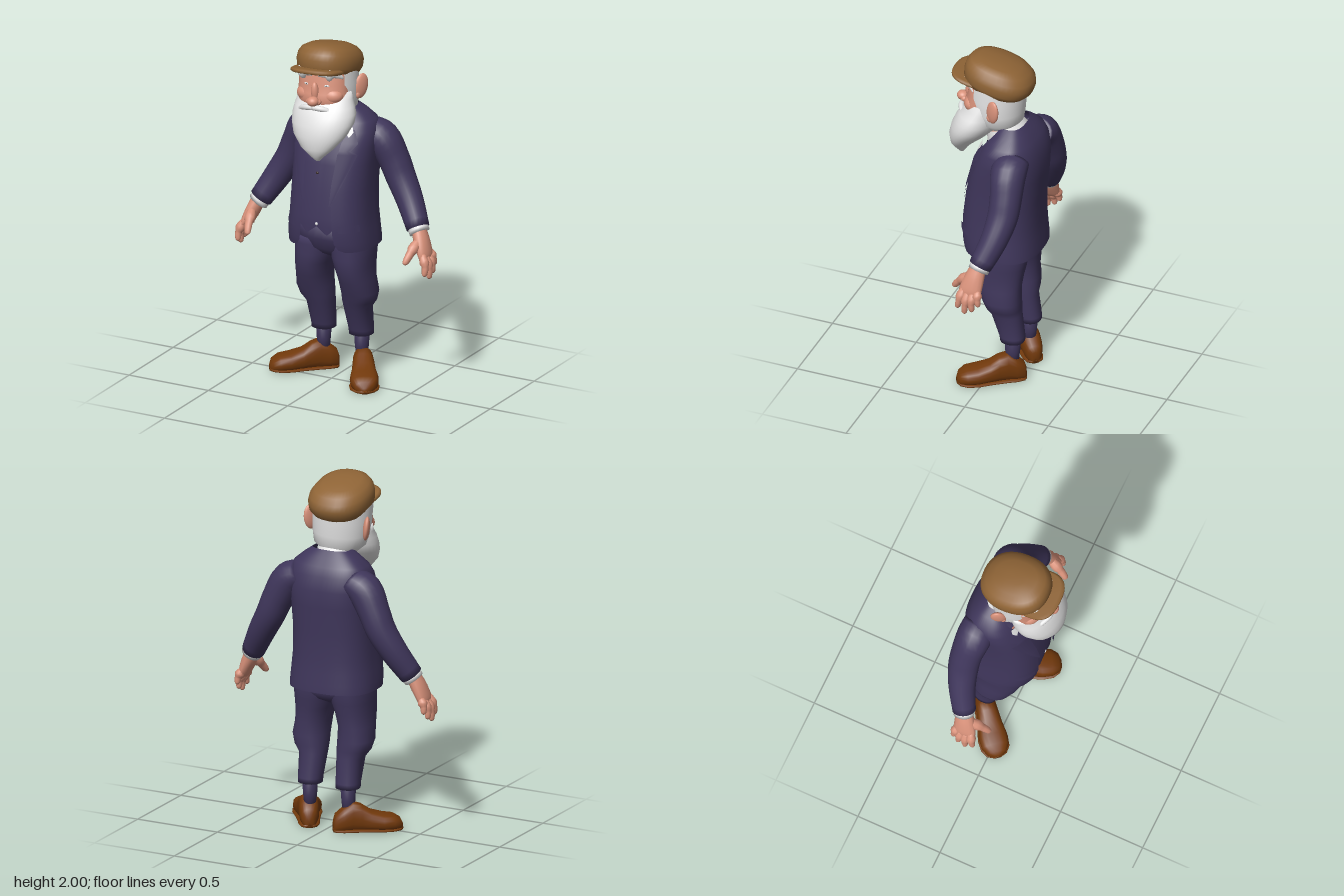
import * as THREE from 'three';

const mat = (name, color, side = THREE.FrontSide) => {
  const m = new THREE.MeshStandardMaterial({ color, side });
  m.name = name;
  return m;
};
const V = (x, y, z) => new THREE.Vector3(x, y, z);
const sgnPow = (v, p) => Math.sign(v) * Math.abs(v) ** p;

// Skin a list of rings; closed rings wrap round and are capped
function loft(rings, closed = true) {
  const n = rings[0].length, pos = [], idx = [];
  rings.forEach(r => r.forEach(p => pos.push(p.x, p.y, p.z)));
  for (let i = 0; i < rings.length - 1; i++) {
    for (let j = 0; j < (closed ? n : n - 1); j++) {
      const k = (j + 1) % n, a = i * n + j, b = i * n + k;
      idx.push(a, b, b + n, a, b + n, a + n);
    }
  }
  const cap = (i, flip) => {
    const c = rings[i].reduce((s, p) => s.add(p), V(0, 0, 0)).divideScalar(n);
    const q = pos.length / 3;
    pos.push(c.x, c.y, c.z);
    for (let j = 0; j < n; j++) {
      const a = i * n + j, b = i * n + (j + 1) % n;
      flip ? idx.push(b, a, q) : idx.push(a, b, q);
    }
  };
  if (closed) {
    cap(0, true);
    cap(rings.length - 1, false);
  }
  const g = new THREE.BufferGeometry();
  g.setAttribute('position', new THREE.Float32BufferAttribute(pos, 3));
  g.setIndex(idx);
  g.computeVertexNormals();
  return g;
}

// Upright body: rows [y, half width, back z, front z, centre x, front gap], bottom to top
function body(rows, n = 2, closed = true, seg = 36) {
  return loft(rows.map(([y, rx, zb, zf, cx = 0, gap = 0]) => {
    const a0 = Math.asin(Math.min(0.98, gap / rx) ** (n / 2));
    return Array.from({ length: seg }, (_, j) => {
      const a = a0 + (2 * Math.PI - 2 * a0) * j / (closed ? seg : seg - 1);
      return V(cx + rx * sgnPow(Math.sin(a), 2 / n), y,
        (zb + zf) / 2 + (zf - zb) / 2 * sgnPow(Math.cos(a), 2 / n));
    });
  }), closed);
}

// Limb: points [x, y, z, radius, radius along z] smoothed along a curve
function limb(pts, seg = 14) {
  const path = new THREE.CatmullRomCurve3(pts.map(p => V(p[0], p[1], p[2])));
  const rad = new THREE.CatmullRomCurve3(pts.map(p => V(p[3], p[4] ?? p[3], 0)));
  const N = 4 * (pts.length - 1), rings = [];
  for (let i = 0; i <= N; i++) {
    const c = path.getPoint(i / N), r = rad.getPoint(i / N), t = path.getTangent(i / N);
    const u = t.clone().cross(V(0, 0, 1)).normalize(), v = u.clone().cross(t);
    rings.push(Array.from({ length: seg }, (_, j) => {
      const a = 2 * Math.PI * j / seg;
      return c.clone().addScaledVector(u, r.x * Math.sin(a)).addScaledVector(v, r.y * Math.cos(a));
    }));
  }
  return loft(rings);
}

// Shoe: sections [z, half width, height] from heel to toe
function shoeGeo(sections, widen = 0, flat = null) {
  return loft(sections.map(([z, w, h]) => Array.from({ length: 20 }, (_, j) => {
    const a = 2 * Math.PI * j / 20, H = flat ?? h;
    return V((w + widen) * sgnPow(Math.sin(a), 0.8), H / 2 - H / 2 * sgnPow(Math.cos(a), 0.8), z);
  })));
}

const BOXY = 2.6;
const JACKET = [
  [0.81, 0.25, -0.26, 0.168, 0, 0.165], [0.825, 0.25, -0.26, 0.173, 0, 0.128],
  [0.86, 0.248, -0.258, 0.18, 0, 0.108], [0.92, 0.243, -0.254, 0.186, 0, 0.1],
  [1.0, 0.235, -0.25, 0.184, 0, 0.095], [1.15, 0.23, -0.252, 0.167, 0, 0.085],
  [1.3, 0.234, -0.266, 0.138, 0, 0.1], [1.4, 0.242, -0.268, 0.103, 0, 0.115],
  [1.48, 0.24, -0.25, 0.063, 0, 0.135], [1.53, 0.215, -0.225, 0.033, 0, 0.145],
  [1.575, 0.162, -0.19, 0.0, 0, 0.13], [1.61, 0.112, -0.158, -0.02, 0, 0.1]];

// Depth of the jacket front at a given x and y
function frontZ(x, y) {
  let i = 0;
  while (i < JACKET.length - 2 && JACKET[i + 1][0] < y) i++;
  const A = JACKET[i], B = JACKET[i + 1], t = (y - A[0]) / (B[0] - A[0]);
  const [, rx, zb, zf] = A.map((v, k) => v + (B[k] - v) * t);
  return (zb + zf) / 2 + (zf - zb) / 2 * Math.max(0, 1 - Math.abs(x / rx) ** BOXY) ** (1 / BOXY);
}
// Thin cloth panel laid on the jacket front: rows [y, x from, x to]
function panel(rows, lift) {
  return loft(rows.map(([y, a, b]) => Array.from({ length: 6 }, (_, j) => {
    const x = a + (b - a) * j / 5;
    return V(x, y, frontZ(x, y) + lift);
  })), false);
}

export function createModel() {
  const model = new THREE.Group();
  const navy = mat('navyCloth', 0x3f365b, THREE.DoubleSide);
  const white = mat('whiteHair', 0xe2e2e2, THREE.DoubleSide);
  const skin = mat('skin', 0xd9927b);
  const tan = mat('capBrown', 0x8f6436);
  const leather = mat('shoeLeather', 0x72390b);
  const dark = mat('dark', 0x3a2a26);
  const add = (parent, name, geo, m) => {
    const o = new THREE.Mesh(geo, m);
    o.name = name;
    parent.add(o);
    return o;
  };
  const blob = (parent, name, m, p, s) => {
    const o = add(parent, name, new THREE.SphereGeometry(1, 24, 16), m);
    o.position.set(...p);
    o.scale.set(...s);
    return o;
  };
  const group = (parent, name) => {
    const g = new THREE.Group();
    g.name = name;
    parent.add(g);
    return g;
  };

  // Torso: open jacket with the chest showing at the neck
  add(model, 'jacket', body(JACKET, BOXY, false, 56), navy);
  add(model, 'chest', panel([[1.31, -0.05, 0.05], [1.4, -0.1, 0.1], [1.48, -0.13, 0.13]], -0.022), skin);
  add(model, 'neck', body([[1.42, 0.09, -0.13, 0.04], [1.52, 0.088, -0.125, 0.06], [1.65, 0.088, -0.11, 0.07]]), skin);
  const collar = add(model, 'shirtCollar', new THREE.CylinderGeometry(0.105, 0.125, 0.06, 28, 1, true), white);
  collar.position.set(0, 1.555, -0.04);
  collar.rotation.x = 0.42;
  blob(model, 'button', dark, [-0.015, 1.25, frontZ(0, 1.25) - 0.012], [0.008, 0.008, 0.005]);
  blob(model, 'lowerButton', white, [0, 0.965, frontZ(0, 0.965) - 0.012], [0.009, 0.009, 0.005]);
  add(model, 'trouserSeat', body([[0.72, 0.03, -0.12, 0.0], [0.75, 0.1, -0.18, 0.055],
    [0.79, 0.21, -0.212, 0.094], [0.85, 0.228, -0.215, 0.11], [0.94, 0.222, -0.215, 0.13]], 2.4), navy);

  // Paired parts, made for the left and mirrored
  [['left', 1], ['right', -1]].forEach(([label, s]) => {
    const half = group(model, label + 'Side');
    half.scale.x = s;
    add(half, 'waistcoat', panel([[0.905, 0.06, 0.065], [0.95, 0, 0.11], [1.0, 0, 0.12], [1.15, 0, 0.12],
      [1.3, 0, 0.13], [1.34, 0, 0.13], [1.4, 0.045, 0.14], [1.48, 0.1, 0.15]], -0.012), navy);
    add(half, 'lapel', panel([[1.08, 0.08, 0.087], [1.2, 0.086, 0.14], [1.37, 0.1, 0.2],
      [1.39, 0.105, 0.165], [1.43, 0.11, 0.195], [1.5, 0.135, 0.165]], 0.01), navy);
    add(half, 'collarPoint', panel([[1.465, 0.145, 0.15], [1.49, 0.125, 0.165], [1.515, 0.115, 0.155]], 0.02), white);
    add(half, 'pocketFlap', panel([[0.93, 0.135, 0.225], [0.97, 0.13, 0.222]], 0.006), navy);

    add(half, 'sleeve', limb([[0.16, 1.45, -0.145, 0.08, 0.095], [0.235, 1.41, -0.15, 0.097, 0.1],
      [0.3, 1.3, -0.163, 0.088, 0.09], [0.345, 1.2, -0.163, 0.083, 0.086],
      [0.415, 1.08, -0.14, 0.076], [0.495, 0.945, -0.09, 0.065]], 20), navy);
    add(half, 'cuff', limb([[0.475, 0.975, -0.1, 0.056], [0.509, 0.922, -0.085, 0.058]], 20), white);
    add(half, 'palm', limb([[0.5, 0.95, -0.085, 0.038, 0.044], [0.53, 0.88, -0.07, 0.04, 0.058],
      [0.56, 0.81, -0.057, 0.03, 0.066], [0.575, 0.765, -0.052, 0.012, 0.052]]), skin);
    const finger = (name, a, b, c, r = 0.02) => add(half, name, limb([[...a, r], [...b, r],
      [...c, r * 0.75], [c[0], c[1] - 0.01, c[2], 0.005]], 10), skin);
    finger('indexFinger', [0.56, 0.82, -0.018], [0.587, 0.76, -0.004], [0.588, 0.715, 0.005]);
    finger('middleFinger', [0.565, 0.81, -0.045], [0.592, 0.74, -0.04], [0.594, 0.69, -0.038]);
    finger('ringFinger', [0.565, 0.81, -0.075], [0.59, 0.75, -0.076], [0.592, 0.71, -0.08]);
    finger('littleFinger', [0.56, 0.82, -0.1], [0.58, 0.78, -0.108], [0.584, 0.745, -0.113]);
    finger('thumb', [0.525, 0.89, -0.045], [0.51, 0.835, 0.02], [0.498, 0.785, 0.06], 0.023);

    add(half, 'trouserLeg', body([[0.25, 0.067, -0.195, -0.06, 0.118], [0.28, 0.067, -0.195, -0.055, 0.118],
      [0.42, 0.075, -0.178, -0.005, 0.117], [0.465, 0.092, -0.182, 0.018, 0.132], [0.52, 0.099, -0.182, 0.038, 0.14],
      [0.6, 0.092, -0.18, 0.073, 0.134], [0.68, 0.1, -0.19, 0.097, 0.124], [0.74, 0.111, -0.202, 0.1, 0.115],
      [0.8, 0.115, -0.213, 0.1, 0.113], [0.84, 0.112, -0.21, 0.1, 0.112]], 2.3), navy);
    add(half, 'sock', body([[0.12, 0.032, -0.163, -0.095, 0.12], [0.18, 0.038, -0.17, -0.085, 0.12],
      [0.27, 0.044, -0.175, -0.085, 0.12]]), navy);

    const shoe = group(half, 'shoe');
    shoe.position.set(s > 0 ? 0.115 : 0.102, 0, s > 0 ? -0.148 : -0.155);
    shoe.rotation.y = s > 0 ? 0.54 : 0.9;
    const sections = [[-0.055, 0.02, 0.07], [-0.043, 0.042, 0.105], [0, 0.055, 0.14], [0.05, 0.057, 0.172],
      [0.1, 0.062, 0.155], [0.15, 0.068, 0.12], [0.22, 0.08, 0.098], [0.28, 0.076, 0.088],
      [0.318, 0.052, 0.066], [0.333, 0.018, 0.035]];
    add(shoe, 'shoeUpper', shoeGeo(sections), leather);
    add(shoe, 'shoeSole', shoeGeo(sections, 0.004, 0.02), leather);
  });

  // Head, leaning slightly to its right
  const lean = group(model, 'head');
  lean.position.y = 1.65;
  lean.rotation.z = 0.05;
  const head = group(lean, 'headParts');
  head.position.y = -1.65;
  add(head, 'face', body([[1.62, 0.14, -0.04, 0.18], [1.69, 0.15, -0.04, 0.193],
    [1.73, 0.152, -0.04, 0.188], [1.775, 0.15, -0.04, 0.17], [1.84, 0.15, -0.04, 0.17],
    [1.88, 0.14, -0.04, 0.15]], 2.1), skin);
  add(head, 'hair', body([[1.575, 0.1, -0.1, 0.1, 0, 0.09], [1.62, 0.148, -0.135, 0.14, 0, 0.13],
    [1.68, 0.162, -0.142, 0.167, 0, 0.14], [1.76, 0.166, -0.147, 0.18, 0, 0.14],
    [1.87, 0.164, -0.15, 0.183, 0, 0.136]], 2, false, 40), white);
  add(head, 'beard', body([[1.355, 0.012, 0.2, 0.225, 0.018], [1.385, 0.045, 0.18, 0.25, 0.016],
    [1.43, 0.1, 0.14, 0.27, 0.014], [1.5, 0.16, 0.06, 0.274, 0.014], [1.56, 0.185, 0, 0.26, 0.014],
    [1.61, 0.188, -0.02, 0.238, 0.014], [1.65, 0.178, -0.025, 0.215, 0.01], [1.69, 0.166, -0.025, 0.172, 0.004],
    [1.73, 0.16, -0.015, 0.145, 0]]), white);
  blob(head, 'nose', skin, [0.005, 1.7, 0.218], [0.034, 0.028, 0.034]);
  blob(head, 'noseBridge', skin, [0, 1.745, 0.182], [0.022, 0.055, 0.022]);
  [1, -1].forEach(s => {
    const q = p => p.map(([x, ...r]) => [s * x, ...r]);
    add(head, 'moustache', limb(q([[0, 1.662, 0.216, 0.014], [0.04, 1.66, 0.212, 0.016],
      [0.085, 1.645, 0.19, 0.014], [0.12, 1.62, 0.17, 0.004]])), white);
    add(head, 'eyebrow', limb(q([[0.018, 1.838, 0.166, 0.01], [0.055, 1.85, 0.156, 0.025],
      [0.1, 1.845, 0.132, 0.025], [0.135, 1.815, 0.1, 0.01]])), white);
    blob(head, 'cheek', skin, [s * 0.072, 1.715, 0.122], [0.07, 0.05, 0.056]);
    blob(head, 'nostril', skin, [s * 0.028, 1.693, 0.2], [0.018, 0.017, 0.02]);
    const eye = blob(head, 'eye', white, [s * 0.064, 1.778, 0.157], [0.018, 0.009, 0.006]);
    eye.rotation.y = s * 0.3;
    blob(head, 'pupil', dark, [s * 0.062, 1.778, 0.162], [0.004, 0.004, 0.003]);
    const ear = blob(head, 'ear', skin, [s * 0.175, 1.735, -0.028], [0.019, 0.072, 0.044]);
    ear.rotation.set(-0.2, s * -0.45, s * -0.14);
    blob(head, 'earLobe', skin, [s * 0.164, 1.69, -0.01], [0.015, 0.025, 0.02]);
  });

  // Flat cap tipped towards the back
  const cap = group(head, 'cap');
  cap.position.set(0.003, 1.827, 0.015);
  cap.rotation.x = -0.22;
  add(cap, 'capCrown', body([[-0.008, 0.155, -0.18, 0.178], [0.02, 0.168, -0.2, 0.193],
    [0.06, 0.171, -0.205, 0.2], [0.095, 0.163, -0.193, 0.197], [0.125, 0.14, -0.16, 0.18],
    [0.145, 0.1, -0.11, 0.14], [0.152, 0.04, -0.04, 0.07]], 2.3, true, 40), tan);
  add(cap, 'capPeak', body([[-0.01, 0.138, 0.02, 0.25], [-0.004, 0.146, 0.01, 0.258],
    [0.008, 0.146, 0.01, 0.258], [0.016, 0.135, 0.02, 0.24]], 2.6), tan);
  return model;
}
